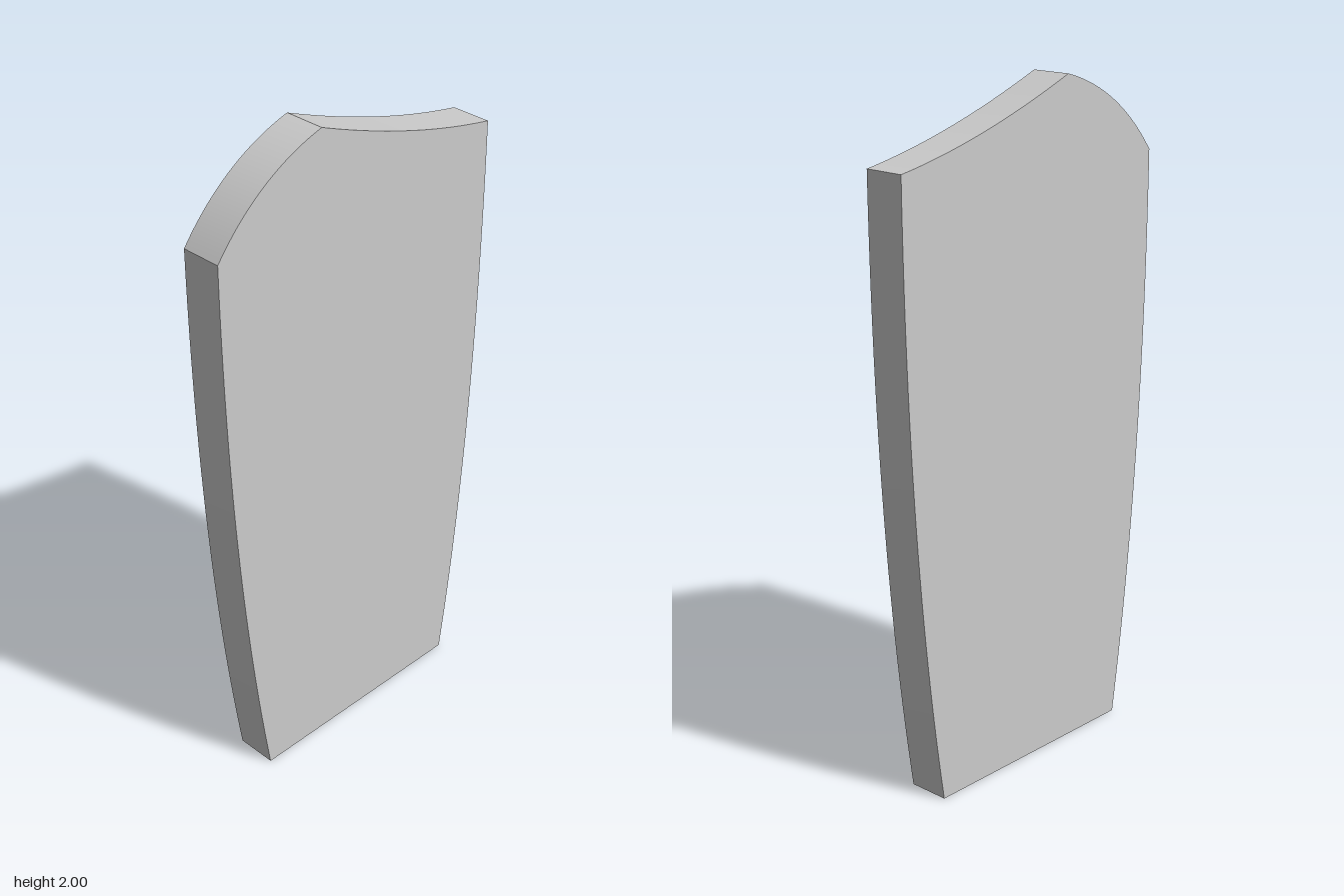
import * as THREE from 'three';
import { toCreasedNormals } from 'three/addons/utils/BufferGeometryUtils.js';

const THICKNESS = 0.125;

export function createModel() {
  const group = new THREE.Group();
  group.name = 'curvedPanel';

  // Outline: flat foot, bowed sides, crest rising to an off-centre peak
  const outline = new THREE.Shape();
  outline.moveTo(-0.375, 0);
  outline.lineTo(0.375, 0);
  outline.quadraticCurveTo(0.498, 0.8, 0.498, 1.81); // left side
  outline.quadraticCurveTo(0.2, 1.86, -0.14, 2); // hollow slope
  outline.quadraticCurveTo(-0.36, 1.94, -0.5, 1.75); // rounded shoulder
  outline.quadraticCurveTo(-0.5, 0.8, -0.375, 0); // right side

  // Plain slab, with smooth curved edges and sharp corners
  const slab = new THREE.ExtrudeGeometry(outline, {
    depth: THICKNESS,
    bevelEnabled: false,
    curveSegments: 24,
  });
  slab.translate(0, 0, -THICKNESS / 2);

  const panel = new THREE.Mesh(
    toCreasedNormals(slab, 0.3),
    new THREE.MeshStandardMaterial({ color: 0xcccccc })
  );
  panel.name = 'panel';
  group.add(panel);
  return group;
}
